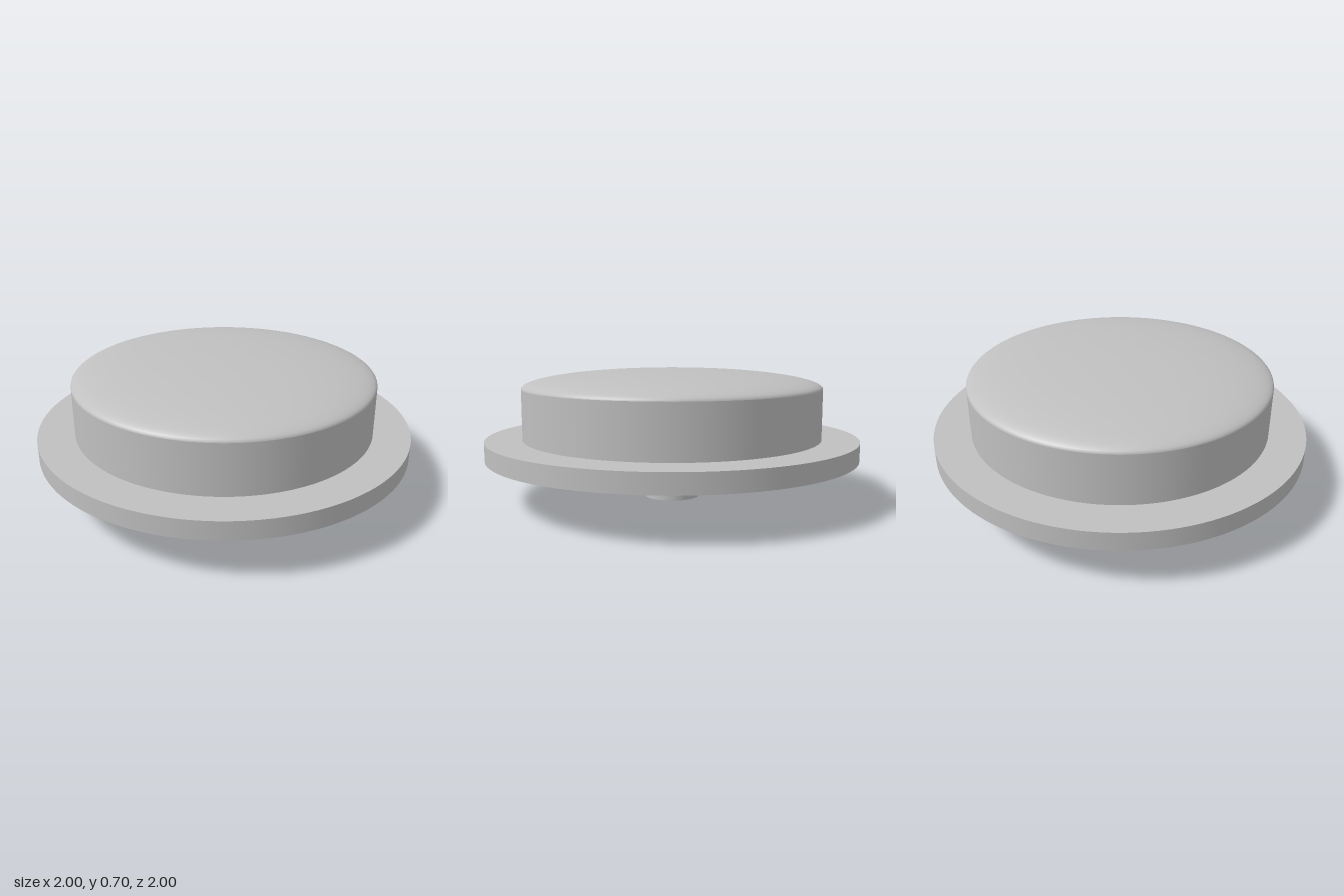
import * as THREE from 'three';

export function createModel() {
  const group = new THREE.Group();
  group.name = 'domedCap';

  const grey = new THREE.MeshStandardMaterial({ color: 0xc0c0c0 });
  grey.name = 'plainGrey';

  const add = (name, geometry, y = 0) => {
    const mesh = new THREE.Mesh(geometry, grey);
    mesh.name = name;
    mesh.position.y = y;
    group.add(mesh);
  };

  // Upright disc or post between two heights
  const addDisc = (name, radius, bottom, top, sides) =>
    add(name, new THREE.CylinderGeometry(radius, radius, top - bottom, sides), (bottom + top) / 2);

  const bodyRadius = 0.805, shoulder = 0.6, domeHeight = 0.097;

  addDisc('stem', 0.152, 0, 0.235, 64);
  addDisc('flange', 1, 0.235, 0.333, 128);

  // Straight wall of the raised body, closed by the dome
  const wall = new THREE.CylinderGeometry(bodyRadius, bodyRadius, shoulder - 0.333, 128, 1, true);
  add('bodyWall', wall, (shoulder + 0.333) / 2);

  // Shallow elliptical dome
  const profile = [];
  for (let i = 0; i <= 24; i++) {
    const a = (i / 24) * Math.PI / 2;
    profile.push(new THREE.Vector2(i === 24 ? 0 : bodyRadius * Math.cos(a), domeHeight * Math.sin(a)));
  }
  add('dome', new THREE.LatheGeometry(profile, 128), shoulder);

  return group;
}
